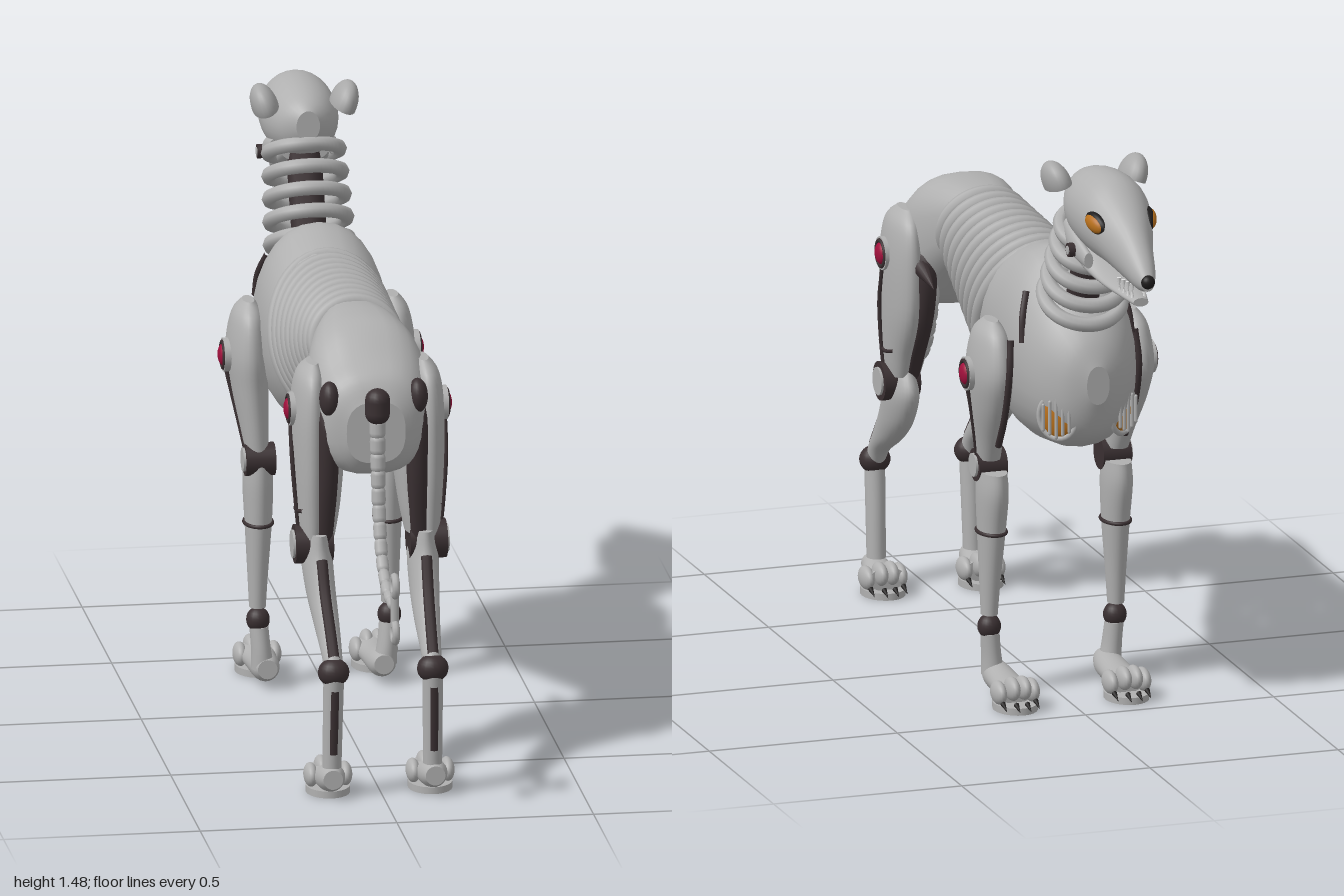
import * as THREE from 'three';

const mat = (name, color, side = THREE.FrontSide) => {
  const m = new THREE.MeshStandardMaterial({ color, side });
  m.name = name;
  return m;
};

// Closed smooth skin through elliptical sections [t, centre, radiusX, radius2, x, shear].
// axis 'z': t is z, centre is y. axis 'y': t is y, centre is z.
function loft(axis, sections, power = 2, n = 28) {
  const full = sections.map(s => [...s, 0, 0].slice(0, 6));
  const rows = [];
  const steps = 5, last = full.length - 1;
  for (let i = 0; i <= last * steps; i++) {
    const k = Math.min(Math.floor(i / steps), last - 1), u = i / steps - k;
    const p = [-1, 0, 1, 2].map(d => full[Math.min(last, Math.max(0, k + d))]);
    rows.push(p[0].map((_, j) => {
      const [a, b, c, d] = p.map(q => q[j]);
      return b + 0.5 * u * (c - a + u * (2 * a - 5 * b + 4 * c - d + u * (3 * (b - c) + d - a)));
    }));
  }
  const flip = (axis === 'y') !== (full[last][0] < full[0][0]);
  const pos = [], idx = [];
  const ring = ([t, c, rx, r2, x, shear], k = 1) => {
    for (let j = 0; j < n; j++) {
      const a = j / n * Math.PI * 2, ca = Math.cos(a), sa = Math.sin(a);
      const px = x + k * rx * Math.sign(ca) * Math.abs(ca) ** (2 / power);
      const q = k * r2 * Math.sign(sa) * Math.abs(sa) ** (2 / power);
      if (axis === 'z') pos.push(px, c + q, t + shear * q);
      else pos.push(px, t + shear * q, c + q);
    }
  };
  const strip = list => {
    const base = pos.length / 3;
    list.forEach(([r, k]) => ring(r, k));
    for (let i = 0; i < list.length - 1; i++) for (let j = 0; j < n; j++) {
      const a = base + i * n + j, b = base + i * n + (j + 1) % n, c = a + n, d = b + n;
      if (flip) idx.push(a, c, b, b, c, d); else idx.push(a, b, c, b, d, c);
    }
  };
  const end = rows[rows.length - 1];
  strip(rows.map(r => [r, 1]));
  strip([[rows[0], 0], [rows[0], 1]]);
  strip([[end, 1], [end, 0]]);
  const g = new THREE.BufferGeometry();
  g.setAttribute('position', new THREE.Float32BufferAttribute(pos, 3));
  g.setIndex(idx);
  g.computeVertexNormals();
  return g;
}

const V = (x, y, z) => new THREE.Vector3(x, y, z);
const tube = (pts, r, closed = false, seg = 32) =>
  new THREE.TubeGeometry(new THREE.CatmullRomCurve3(pts, closed), seg, r, 8, closed);

// Elliptical hoop: one radius along x, the other along (0, vy, vz)
const hoop = (cy, cz, rx, vy, vz, r) => tube(Array.from({ length: 16 }, (_, i) => {
  const a = i / 16 * Math.PI * 2;
  return V(rx * Math.cos(a), cy + vy * Math.sin(a), cz + vz * Math.sin(a));
}), r, true, 48);

export function createModel() {
  const root = new THREE.Group();
  const steel = mat('steel', 0xb0b0b0), dark = mat('dark joint', 0x3a3032);
  const ruby = mat('ruby', 0xa0103c), amber = mat('amber', 0xb8701c);
  const black = mat('black', 0x1e1c1c), ivory = mat('ivory', 0xdedede);
  const earSteel = mat('ear steel', 0xa8a8a8, THREE.DoubleSide);

  const add = (name, geo, m, p = [0, 0, 0], r = [0, 0, 0], s = [1, 1, 1]) => {
    const o = new THREE.Mesh(geo, m);
    o.name = name;
    o.position.set(...p); o.rotation.set(...r); o.scale.set(...s);
    root.add(o);
    return o;
  };
  const ball = (name, m, p, s, r) => add(name, new THREE.SphereGeometry(1, 20, 14), m, p, r, s);
  const disc = (name, m, p, r, w) => add(name, new THREE.CylinderGeometry(r, r, w, 24), m, p, [0, 0, Math.PI / 2]);

  // Trunk
  add('chest', loft('z', [[-.10, .96, .145, .185, 0, -.3], [-.18, .945, .16, .225, 0, -.25], [-.30, .93, .165, .255, 0, -.12],
    [-.42, .91, .155, .225], [-.51, .89, .13, .18], [-.57, .88, .085, .125], [-.6, .89, .03, .05]], 2.2), steel);
  add('keel', loft('z', [[.09, .778, .004, .004], [0, .745, .03, .024], [-.1, .735, .06, .045], [-.22, .74, .09, .06]]), steel);
  add('rump', loft('z', [[.29, 1.07, .09, .09], [.37, 1.035, .125, .13], [.47, .985, .15, .17], [.56, .945, .145, .15],
    [.62, .93, .12, .125], [.65, .92, .075, .08]], 2.6), steel);
  add('spineCore', loft('z', [[.34, 1.06, .05, .05], [.1, 1.03, .05, .05], [-.14, .96, .06, .06]]), dark);
  for (let i = 0; i < 10; i++) {
    const t = i / 9;
    add('rib', hoop(1.06 - .1 * t, .3 - .4 * t, .105 + .04 * t, .095 + .085 * t, -.03 - .06 * t, .02), steel);
  }

  // Neck
  add('neckCore', tube([V(0, 1.02, -.44), V(0, 1.18, -.52), V(0, 1.34, -.6)], .045), dark);
  for (let i = 0; i < 5; i++) {
    const t = i / 4;
    add('neckRing', hoop(1.09 + .21 * t, -.475 - .1 * t, .1 - .01 * t, .05 - .01 * t, .085 - .015 * t, .019), steel);
  }

  // Head
  add('skull', loft('z', [[-.5, 1.385, .03, .04], [-.54, 1.375, .07, .075], [-.62, 1.37, .095, .1], [-.72, 1.365, .095, .105],
    [-.8, 1.345, .076, .088], [-.88, 1.312, .05, .068], [-.95, 1.28, .032, .043], [-.985, 1.265, .018, .022]]), steel);
  add('jaw', loft('z', [[-.56, 1.305, .06, .03], [-.66, 1.25, .075, .035], [-.75, 1.217, .055, .019],
    [-.85, 1.207, .038, .014], [-.93, 1.2, .02, .011]]), steel);
  ball('nose', black, [0, 1.268, -.985], [.018, .018, .017]);

  // Tail, its base and winding key
  add('tailBase', new THREE.CapsuleGeometry(.032, .03, 6, 16), dark, [0, .995, .672]);
  const tail = new THREE.CatmullRomCurve3([V(0, .96, .67), V(0, .84, .68), V(0, .72, .7), V(0, .61, .755), V(0, .56, .84), V(0, .55, .94)]);
  add('tailCord', new THREE.TubeGeometry(tail, 40, .012, 8), steel);
  for (let i = 0; i < 13; i++) {
    const t = (i + .5) / 13, bead = new THREE.CapsuleGeometry(.021 - .008 * t, .022, 4, 12);
    add('tailBead', bead, steel, tail.getPointAt(t).toArray())
      .quaternion.setFromUnitVectors(V(0, 1, 0), tail.getTangentAt(t));
  }
  add('keyBar', new THREE.CylinderGeometry(.011, .011, .09, 10), steel, [0, .55, .965]);
  for (const y of [.49, .61]) add('keyLoop', new THREE.TorusGeometry(.024, .01, 8, 20), steel, [0, y, .965], [0, Math.PI / 2, 0]);

  for (const s of [1, -1]) {
    // Mirrors the x of lofted sections
    const limb = (name, m, list, power) => add(name, loft('y', list.map(([y, z, rx, rz, x]) => [y, z, rx, rz, s * x]), power), m);
    const line = (name, pts, r = .006) => add(name, tube(pts.map(([x, y, z]) => V(s * x, y, z)), r), dark);
    const hub = (x, y, z) => {
      disc('hubPlate', steel, [s * x, y, z], .043, .022);
      add('hubRim', new THREE.TorusGeometry(.033, .006, 8, 24), dark, [s * (x + .01), y, z], [0, Math.PI / 2, 0]);
      ball('hubGem', ruby, [s * (x + .01), y, z], [.014, .028, .028]);
    };
    const joint = (x, y, z, r, w) => {
      disc('joint', dark, [s * x, y, z], r, w);
      disc('jointCap', steel, [s * (x + .006), y, z], r * .72, w);
    };
    const foot = (x, heel, len) => {
      add('sole', new THREE.CylinderGeometry(.056, .056, .018, 24), steel, [s * x, .009, heel - len + .075], [0, 0, 0], [1, 1, 1.25]);
      add('instep', loft('z', [[heel, .055, .025, .025, s * x], [heel - .04, .05, .036, .036, s * x],
        [heel - len * .5, .045, .042, .03, s * x], [heel - len * .75, .045, .05, .03, s * x]]), steel);
      [-1.5, -.5, .5, 1.5].forEach(k => {
        const inner = Math.abs(k) < 1, z = heel - len + (inner ? .055 : .075);
        ball('toe', steel, [s * x + k * .029, inner ? .058 : .045, z], [.018, .03, .042]);
        add('claw', new THREE.ConeGeometry(.007, .035, 8), black, [s * x + k * .029, .018, z - .05], [-Math.PI / 2 - .4, 0, 0]);
      });
    };

    // Hind leg
    limb('thighCore', dark, [[1.02, .5, .02, .06, .115], [.94, .495, .038, .118, .115], [.8, .505, .036, .11, .115], [.66, .53, .03, .065, .12], [.6, .54, .025, .045, .125]], 2.6);
    limb('thighShell', steel, [[1.07, .495, .015, .04, .14], [1.03, .495, .035, .09, .147], [.94, .495, .044, .11, .15], [.8, .5, .042, .105, .15], [.68, .525, .035, .07, .148], [.625, .535, .028, .055, .148]]);
    limb('innerThigh', steel, [[.95, .495, .015, .06, .09], [.85, .495, .026, .09, .088], [.72, .52, .024, .065, .097], [.63, .535, .018, .045, .107]]);
    hub(.19, .95, .505);
    line('thighSeam', [[.196, .91, .505], [.195, .82, .53], [.186, .7, .54], [.18, .64, .54]]);
    line('thighBand', [[.175, .7, .475], [.185, .69, .52], [.175, .7, .58]], .005);
    add('spur', new THREE.ConeGeometry(.022, .1, 10), dark, [s * .13, .92, .345], [-Math.PI / 2 - .3, 0, 0]);
    ball('hipPatch', dark, [s * .112, 1, .605], [.026, .045, .035]);
    joint(.145, .605, .54, .05, .095);
    limb('shin', steel, [[.64, .545, .025, .065, .135], [.58, .535, .038, .085, .135], [.5, .58, .037, .085, .132], [.43, .655, .032, .07, .128], [.37, .735, .026, .04, .126], [.32, .77, .022, .03, .125]]);
    line('shinStripe', [[.133, .58, .617], [.131, .5, .662], [.128, .43, .722], [.126, .37, .774]], .014);
    ball('hock', dark, [s * .126, .332, .768], [.04, .036, .036]);
    limb('hindPastern', steel, [[.32, .77, .026, .03, .126], [.2, .76, .025, .03, .127], [.08, .752, .024, .028, .128]]);
    line('pasternStripe', [[.126, .29, .79], [.127, .2, .783], [.128, .12, .775]], .012);
    foot(.13, .79, .17);

    // Front leg
    limb('shoulder', steel, [[1, -.3, .015, .035, .183], [.96, -.3, .04, .085, .185], [.87, -.3, .052, .11, .187], [.78, -.285, .047, .093, .183], [.68, -.255, .036, .06, .175], [.62, -.24, .03, .042, .17]]);
    hub(.238, .86, -.29);
    line('shoulderSeam', [[.24, .82, -.285], [.231, .78, -.28], [.212, .69, -.258], [.2, .63, -.24]]);
    line('shoulderEdge', [[.165, .97, -.4], [.172, .88, -.412], [.172, .76, -.375], [.168, .67, -.315]], .009);
    joint(.165, .6, -.23, .042, .075);
    limb('forearm', steel, [[.59, -.255, .034, .066, .165], [.53, -.257, .038, .067, .165], [.43, -.25, .034, .052, .165], [.3, -.245, .026, .035, .167], [.21, -.243, .021, .026, .168]]);
    add('forearmBand', hoop(.43, -.25, .035, 0, .053, .005), dark, [s * .165, 0, 0]);
    ball('wrist', dark, [s * .167, .177, -.24], [.03, .032, .03]);
    limb('frontPastern', steel, [[.16, -.24, .024, .027, .165], [.1, -.235, .025, .032, .16], [.05, -.235, .03, .035, .155]]);
    foot(.148, -.2, .26);

    // Chest lamp with grille bars
    const lamp = new THREE.Group();
    lamp.name = 'chestLamp';
    lamp.position.set(s * .085, .8, -.537);
    lamp.rotation.y = Math.PI - s * .62;
    const part = (name, geo, m, x, z) => {
      const o = new THREE.Mesh(geo, m);
      o.name = name; o.position.set(x, 0, z);
      lamp.add(o);
      return o;
    };
    part('lampGlass', new THREE.SphereGeometry(1, 20, 14), amber, 0, 0).scale.set(.045, .055, .016);
    part('lampRim', new THREE.TorusGeometry(.05, .007, 8, 28), steel, 0, .002).scale.y = 1.15;
    for (const k of [-2, -1, 0, 1, 2])
      part('lampBar', new THREE.CapsuleGeometry(.0045, .1 - Math.abs(k) * .018, 4, 8), steel, k * .017, .018);
    root.add(lamp);

    // Chest seams
    line('chestSeam', [[.03, 1.09, -.475], [.06, 1.03, -.515], [.08, .96, -.55]], .006);
    line('collarSeam', [[.12, 1.09, -.39], [.14, 1.03, -.42], [.145, .97, -.435]], .009);

    // Face
    ball('eyeRim', black, [s * .068, 1.372, -.785], [.018, .028, .045], [-.25, s * .25, 0]);
    ball('eye', amber, [s * .073, 1.373, -.787], [.017, .022, .038], [-.25, s * .25, 0]);
    disc('jawHinge', dark, [s * .085, 1.275, -.67], .018, .04);
    disc('jawHingeCap', steel, [s * .087, 1.275, -.67], .011, .04);
    add('jawPlate', loft('z', [[-.58, 1.31, .012, .022, s * .075], [-.65, 1.285, .015, .032, s * .08], [-.73, 1.26, .012, .02, s * .07]]), steel);
    for (let i = 0; i < 4; i++) {
      const z = -.86 - i * .02, x = s * (.034 - i * .005);
      add('upperTooth', new THREE.ConeGeometry(.006, .028, 6), ivory, [x, 1.235, z], [Math.PI, 0, 0]);
      add('lowerTooth', new THREE.ConeGeometry(.005, .022, 6), ivory, [x * .85, 1.22, z + .008]);
    }

    // Folded ear: an open half shell
    add('ear', new THREE.SphereGeometry(1, 20, 12, 0, Math.PI * 2, 0, Math.PI * .55), earSteel,
      [s * .1, 1.425, -.57], [.1, 0, -s * .35], [.034, .058, .062]);
  }
  return root;
}
